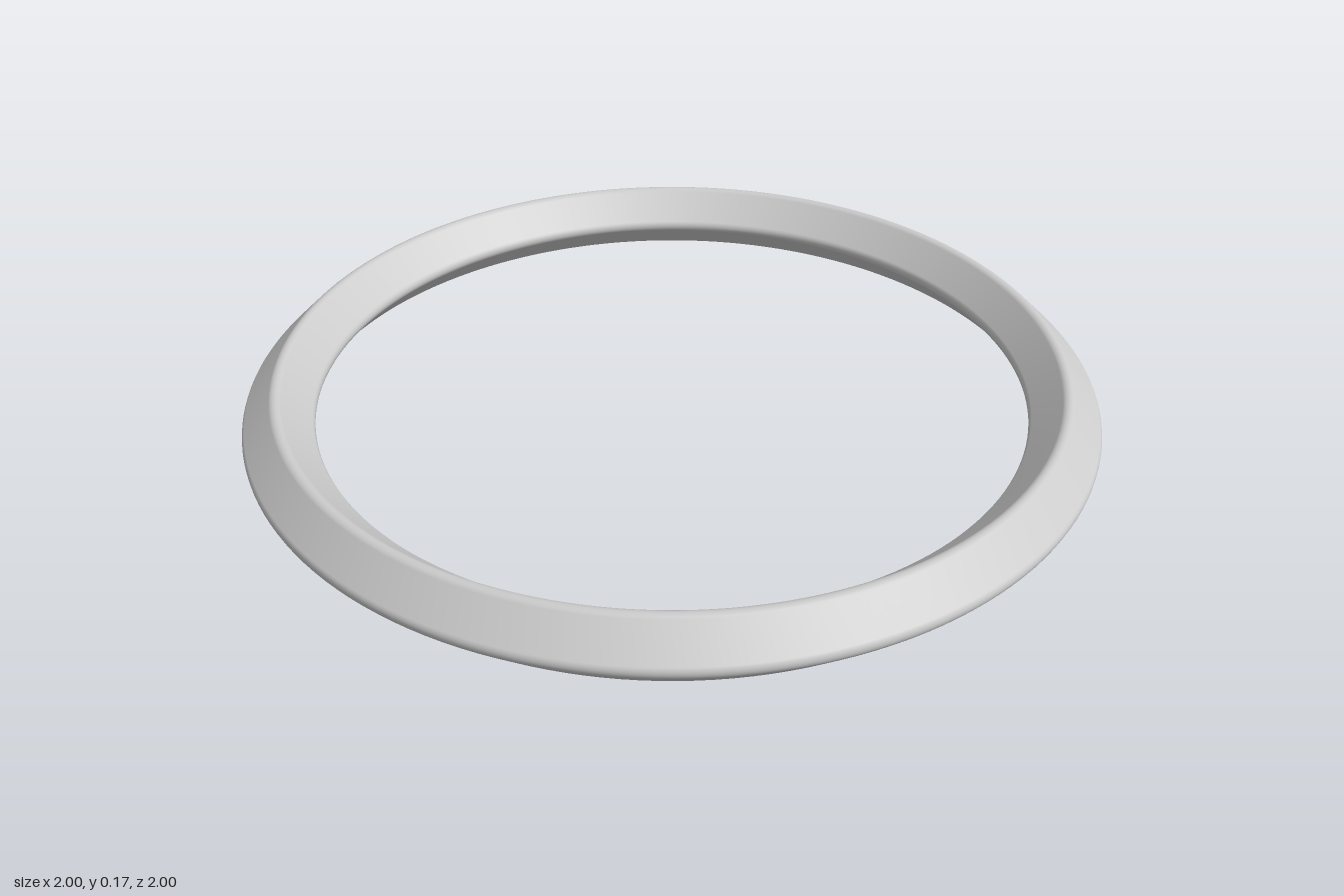
import * as THREE from 'three';

const INNER = 0.835, OUTER = 1;
const HALF = (OUTER - INNER) / 2; // half width and half height of the section
const MID = (OUTER + INNER) / 2;
const ROUND = 0.02;               // corner radius of the section

// Diamond section with rounded corners, counter-clockwise, starting mid-face
function diamondProfile() {
  const reach = HALF - ROUND;
  const steps = 6;
  const points = [];
  for (let corner = 0; corner < 4; corner++) {
    const dir = corner * Math.PI / 2;
    const cx = MID + reach * Math.cos(dir);
    const cy = HALF + reach * Math.sin(dir);
    for (let i = 0; i <= steps; i++) {
      const a = dir + (i / steps - 0.5) * Math.PI / 2;
      points.push(new THREE.Vector2(cx + ROUND * Math.cos(a), cy + ROUND * Math.sin(a)));
    }
  }
  const start = points[0].clone().lerp(points[points.length - 1], 0.5);
  return [start, ...points, start.clone()];
}

export function createModel() {
  const model = new THREE.Group();
  model.name = 'ringModel';

  // Smooth bangle swept around the vertical axis
  const ring = new THREE.Mesh(
    new THREE.LatheGeometry(diamondProfile(), 160),
    new THREE.MeshStandardMaterial({ color: 0xcccccc })
  );
  ring.name = 'ring';
  model.add(ring);
  return model;
}
